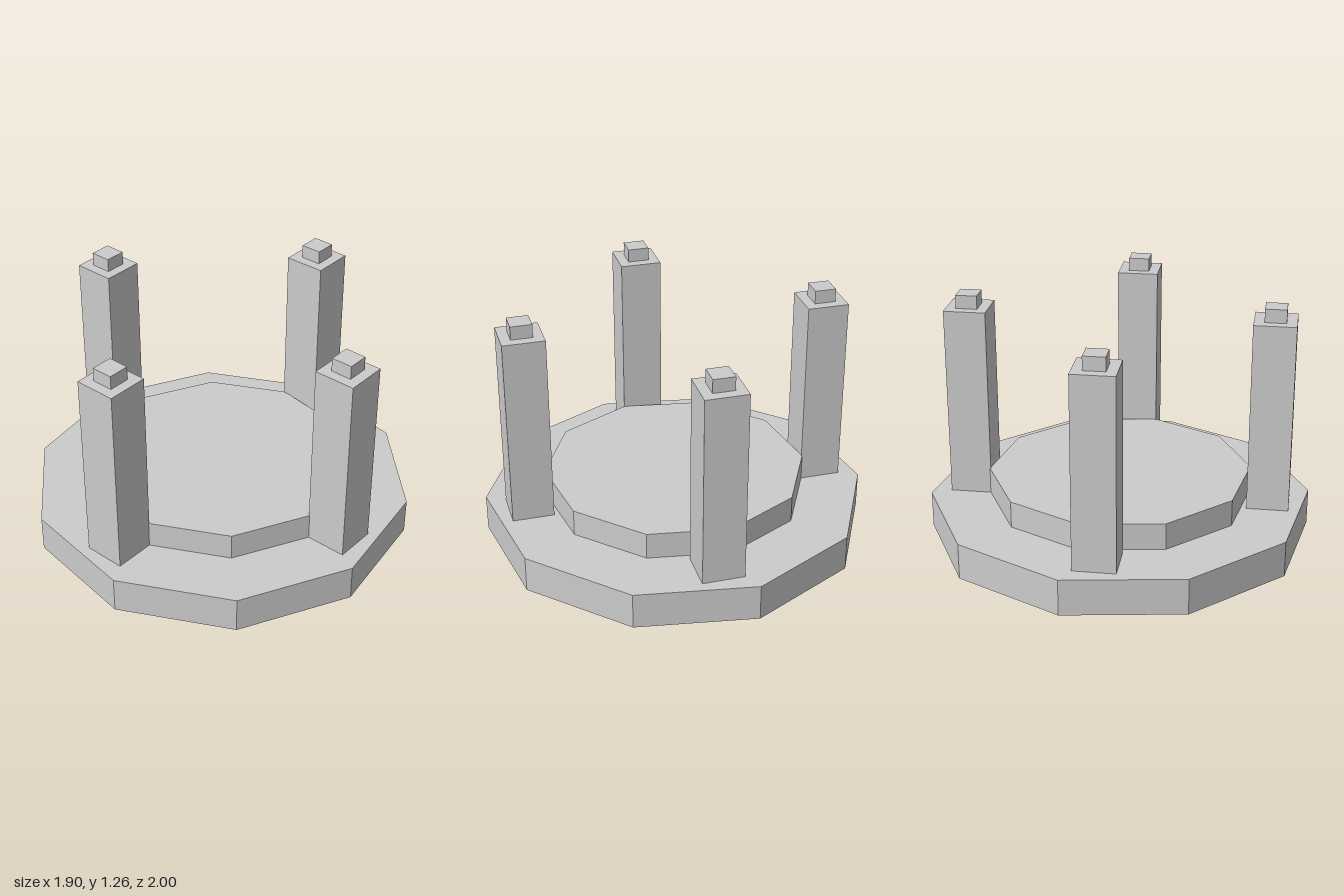
import * as THREE from 'three';

const material = new THREE.MeshStandardMaterial({ color: 0xcccccc, flatShading: true });

// Upright prism with one corner facing +z, spanning y0 to y1
function prism(name, radius, y0, y1, sides) {
  const geometry = new THREE.CylinderGeometry(radius, radius, y1 - y0, sides);
  geometry.translate(0, (y0 + y1) / 2, 0);
  const mesh = new THREE.Mesh(geometry, material);
  mesh.name = name;
  return mesh;
}

export function createModel() {
  const model = new THREE.Group();
  model.name = 'pillaredPlatform';

  // Two stacked ten-sided steps
  model.add(prism('lowerStep', 1, 0, 0.19, 10));
  model.add(prism('upperStep', 0.687, 0.19, 0.33, 10));

  // Four diagonal square pillars, each with a small cap block
  for (const x of [-1, 1]) {
    for (const z of [-1, 1]) {
      const pillar = new THREE.Group();
      pillar.name = (z > 0 ? 'front' : 'back') + (x > 0 ? 'Left' : 'Right') + 'Pillar';
      pillar.add(prism('shaft', 0.153, 0.19, 1.19, 4));
      pillar.add(prism('capBlock', 0.078, 1.19, 1.26, 4));
      pillar.position.set(x * 0.553, 0, z * 0.553);
      model.add(pillar);
    }
  }
  return model;
}
